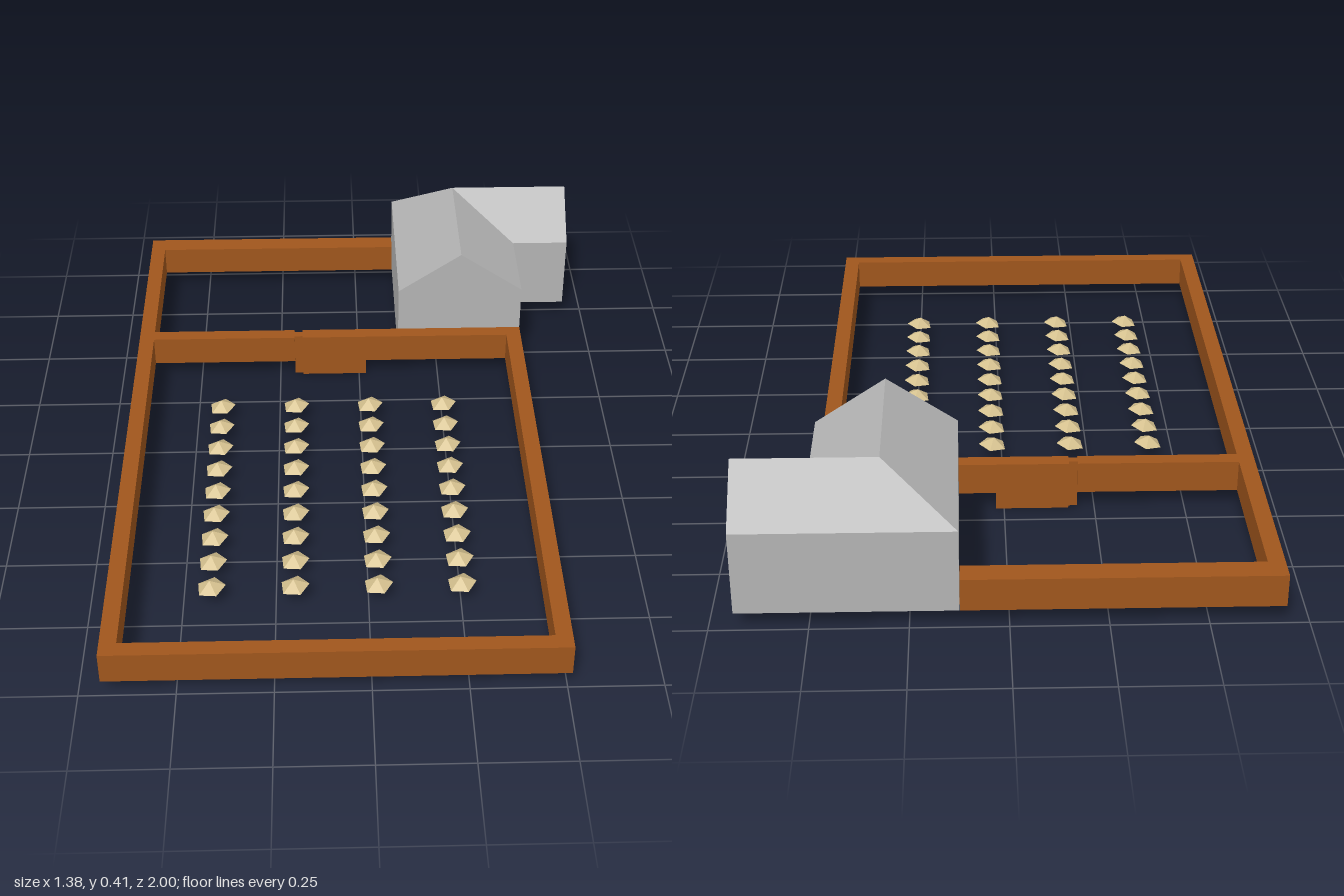
import * as THREE from 'three';

export function createModel() {
  const model = new THREE.Group();
  const brown = new THREE.MeshStandardMaterial({ name: 'woodBrown', color: 0xa0561c });
  const grey = new THREE.MeshStandardMaterial({ name: 'houseGrey', color: 0xb4b4b4, side: THREE.DoubleSide });
  const straw = new THREE.MeshStandardMaterial({ name: 'strawTan', color: 0xd4c08e, side: THREE.DoubleSide, flatShading: true });

  // Box given by its limits on each axis
  function block(name, x0, x1, z0, z1, y0 = 0.05, y1 = 0.14) {
    const mesh = new THREE.Mesh(new THREE.BoxGeometry(x1 - x0, y1 - y0, z1 - z0), brown);
    mesh.position.set((x0 + x1) / 2, (y0 + y1) / 2, (z0 + z1) / 2);
    mesh.name = name;
    model.add(mesh);
  }

  // Yard walls
  block('rightWall', -0.69, -0.645, -1, 1);
  block('leftWall', 0.465, 0.51, -0.44, 1);
  block('frontWall', -0.645, 0.465, 0.955, 1);
  block('backWall', -0.645, 0.124, -1, -0.936);

  // Dividing wall with a narrow slot and a gate footing below it
  block('dividingWallRight', -0.645, -0.203, -0.44, -0.397);
  block('dividingWallLeft', -0.178, 0.465, -0.44, -0.397);
  block('gateFooting', -0.178, 0.022, -0.44, -0.397, 0, 0.05);
  block('gateHinge', -0.203, -0.178, -0.428, -0.405, 0, 0.14);

  // House: L-shaped walls, two gables and four roof slopes, open underneath
  const base = 0.05, eaves = 0.28, ridge = 0.41;
  const outline = [[0.125, -1], [0.125, -0.441], [0.51, -0.441], [0.51, -0.72], [0.685, -0.72], [0.685, -1]];
  const at = ([x, z], y) => [x, y, z];
  const [a, b, c, d, e, f] = outline.map((p) => at(p, eaves));
  const frontPeak = [0.317, ridge, -0.441], sidePeak = [0.685, ridge, -0.86], crossing = [0.317, ridge, -0.86];
  const walls = outline.map((p, i) => {
    const q = outline[(i + 1) % outline.length];
    return [at(p, base), at(q, base), at(q, eaves), at(p, eaves)];
  });
  walls[1].splice(3, 0, frontPeak);
  walls[4].splice(3, 0, sidePeak);
  const roof = [
    [a, b, frontPeak, crossing],
    [c, d, crossing, frontPeak],
    [d, e, sidePeak, crossing],
    [f, a, crossing, sidePeak],
  ];
  function faces(name, polygons) {
    const points = [];
    for (const p of polygons) {
      for (let i = 1; i < p.length - 1; i++) points.push(...p[0], ...p[i], ...p[i + 1]);
    }
    const geometry = new THREE.BufferGeometry();
    geometry.setAttribute('position', new THREE.Float32BufferAttribute(points, 3));
    geometry.computeVertexNormals();
    const mesh = new THREE.Mesh(geometry, grey);
    mesh.name = name;
    return mesh;
  }
  const house = new THREE.Group();
  house.name = 'house';
  house.add(faces('houseWalls', walls), faces('houseRoof', roof));
  model.add(house);

  // Crop mounds: shallow, slightly tilted five-sided caps in four rows
  const moundShape = new THREE.ConeGeometry(0.041, 0.024, 5, 1, true, Math.PI / 2 + 0.1);
  moundShape.translate(0, 0.012, 0);
  const crops = new THREE.Group();
  crops.name = 'crops';
  for (let col = 0; col < 4; col++) {
    for (let row = 0; row < 9; row++) {
      const mound = new THREE.Mesh(moundShape, straw);
      mound.name = 'cropMound';
      mound.position.set(-0.425 + col * 0.2255, 0.047, -0.163 + row * 0.102);
      mound.rotation.z = 0.12;
      crops.add(mound);
    }
  }
  model.add(crops);
  return model;
}
